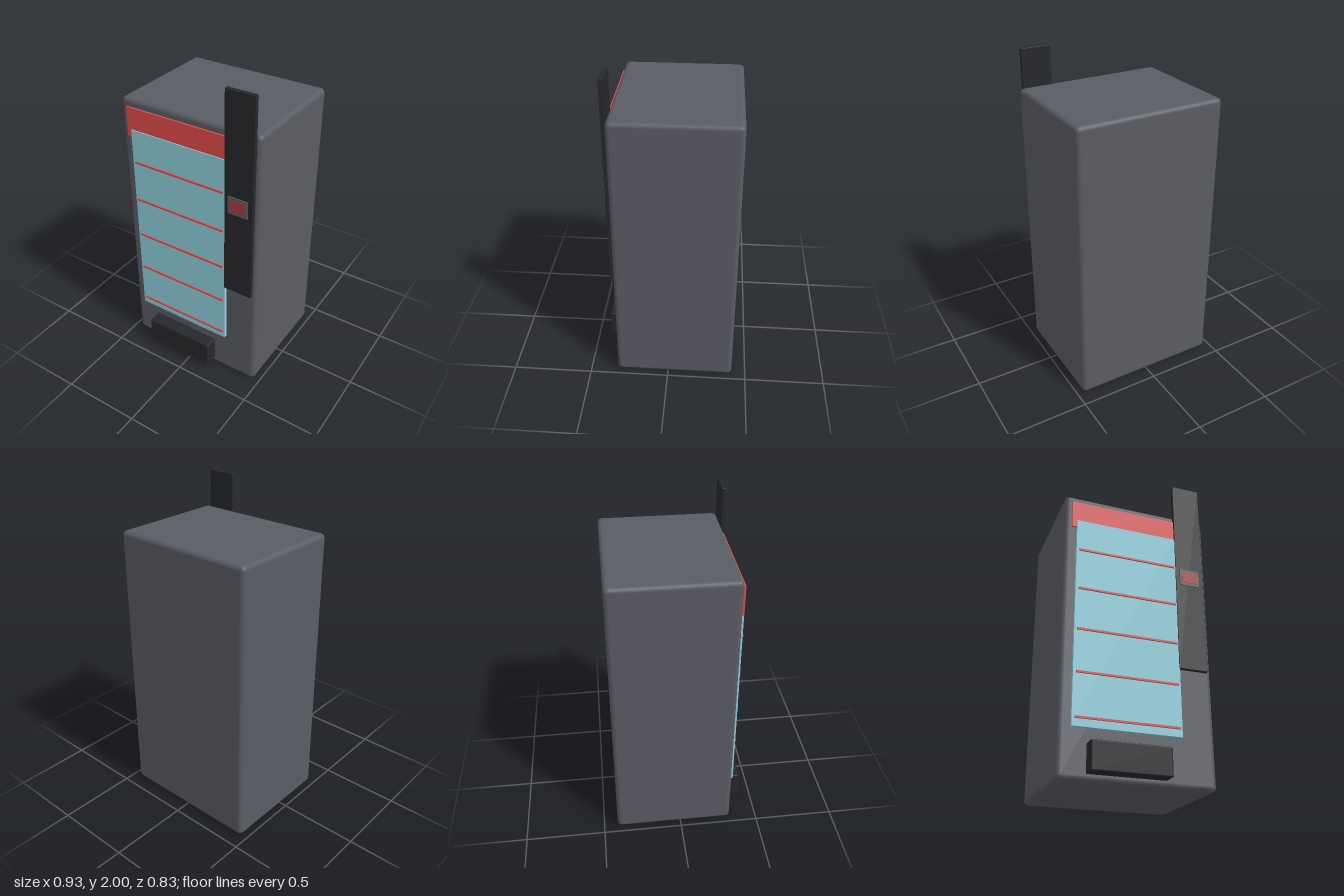
import * as THREE from 'three';
import { RoundedBoxGeometry } from 'three/addons/geometries/RoundedBoxGeometry.js';

const mat = (color) => new THREE.MeshStandardMaterial({ color });

export function createModel() {
  const group = new THREE.Group();
  const grey = mat(0x5a5c64), dark = mat(0x27282c), red = mat(0xe04c4c);
  const blue = mat(0x8fd0de), screenRed = mat(0xa83c3e);

  // Box given by its extents on each axis, with optional rounded edges
  function box(name, [x0, x1], [y0, y1], [z0, z1], material, radius = 0) {
    const size = [x1 - x0, y1 - y0, z1 - z0];
    const geometry = radius
      ? new RoundedBoxGeometry(...size, 4, radius)
      : new THREE.BoxGeometry(...size);
    const mesh = new THREE.Mesh(geometry, material);
    mesh.name = name;
    mesh.position.set((x0 + x1) / 2, (y0 + y1) / 2, (z0 + z1) / 2);
    group.add(mesh);
  }

  // Cabinet
  box('cabinet', [-0.463, 0.463], [0, 1.77], [-0.413, 0.327], grey, 0.028);

  // Header strip and display window
  box('header', [-0.42, 0.42], [1.54, 1.722], [0.332, 0.343], red);
  box('window', [-0.39, 0.255], [0.285, 1.585], [0.328, 0.349], blue);

  // Shelf edges across the window
  for (let i = 0; i < 5; i++) {
    const y = 0.335 + i * 0.2605;
    box('shelf', [-0.373, 0.242], [y - 0.006, y + 0.006], [0.347, 0.357], red);
  }

  // Tall control panel with a framed screen
  box('controlPanel', [0.25, 0.435], [0.7, 2], [0.325, 0.351], dark, 0.004);
  box('screenFrame', [0.277, 0.405], [1.26, 1.37], [0.345, 0.358], grey);
  box('screen', [0.29, 0.392], [1.28, 1.355], [0.35, 0.361], screenRed);

  // Collection tray
  box('tray', [-0.297, 0.165], [0.04, 0.207], [0.31, 0.412], dark, 0.008);

  return group;
}
